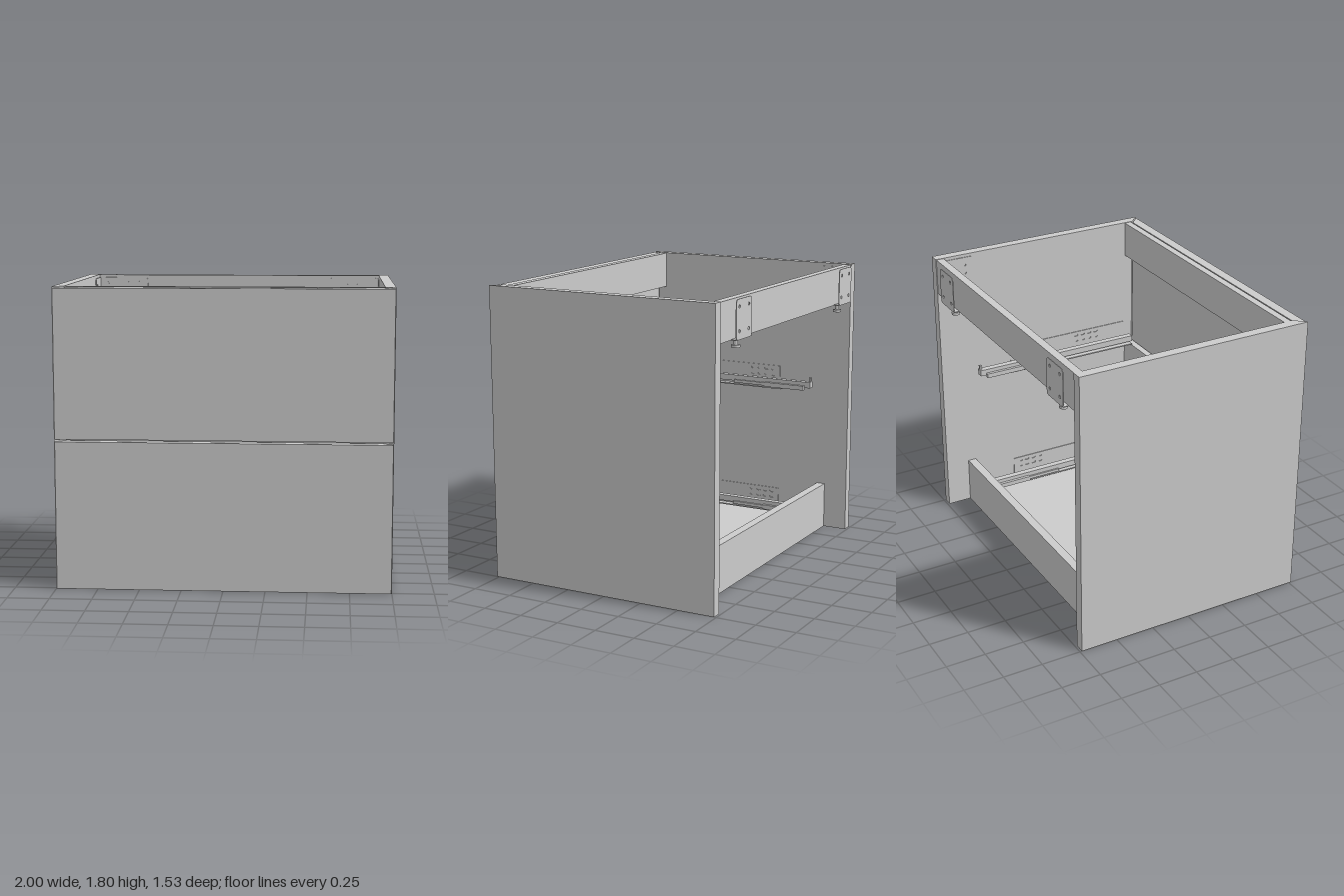
import * as THREE from 'three';

const H = 1.805;
const mat = new THREE.MeshStandardMaterial({ color: 0xcccccc, side: THREE.DoubleSide, flatShading: true });

function add(parent, name, geo, x = 0, y = 0, z = 0) {
  const m = new THREE.Mesh(geo, mat);
  m.name = name;
  m.position.set(x, y, z);
  parent.add(m);
  return m;
}

// Box given by its minimum and maximum on each axis
function box(parent, name, x0, x1, y0, y1, z0, z1) {
  return add(parent, name, new THREE.BoxGeometry(Math.abs(x1 - x0), y1 - y0, z1 - z0),
    (x0 + x1) / 2, (y0 + y1) / 2, (z0 + z1) / 2);
}

// Upright prism from an [x, z] outline
function prism(parent, name, outline, y0, y1) {
  const shape = new THREE.Shape(outline.map(([x, z]) => new THREE.Vector2(x, -z)));
  const geo = new THREE.ExtrudeGeometry(shape, { depth: y1 - y0, bevelEnabled: false });
  geo.rotateX(-Math.PI / 2);
  return add(parent, name, geo, 0, y0, 0);
}

// Thin rounded plate in the XY plane, holes as [x, y, halfWidth, halfHeight]
function plateGeometry(w, h, r, t, holes) {
  const s = new THREE.Shape();
  s.moveTo(r, 0);
  s.lineTo(w - r, 0);
  s.absarc(w - r, r, r, -Math.PI / 2, 0);
  s.absarc(w - r, h - r, r, 0, Math.PI / 2);
  s.absarc(r, h - r, r, Math.PI / 2, Math.PI);
  s.absarc(r, r, r, Math.PI, Math.PI * 1.5);
  for (const [x, y, a, b] of holes) {
    const p = new THREE.Path();
    p.absellipse(x, y, a, b, 0, Math.PI * 2, true);
    s.holes.push(p);
  }
  return new THREE.ExtrudeGeometry(s, { depth: t, bevelEnabled: false, curveSegments: 6 });
}

// Drawer runner for the +x wall, base at y = 0
function runner() {
  const g = new THREE.Group();
  const slots = [];
  for (const z of [0.05, 0.1, 0.15, 0.2, 0.5, 0.55, 0.6, 0.65])
    for (const y of [0.075, 0.115]) slots.push([z, y, 0.016, 0.008]);
  const wall = add(g, 'runnerWallPlate', plateGeometry(0.88, 0.14, 0.006, 0.005, slots), 0.934, 0, -0.24);
  wall.rotation.y = -Math.PI / 2;
  const flangeSlots = [0.12, 0.21, 0.28, 0.36].map(z => [0.03, z, 0.014, 0.022]);
  const flange = add(g, 'runnerFlange', plateGeometry(0.065, 0.88, 0.004, 0.006, flangeSlots), 0.868, 0.006, -0.24);
  flange.rotation.x = Math.PI / 2;
  // channel with the sliding member on top
  box(g, 'runnerChannelFloor', 0.82, 0.87, 0.004, 0.012, -0.3, 0.64);
  box(g, 'runnerChannelSide', 0.862, 0.87, 0.004, 0.04, -0.3, 0.64);
  box(g, 'runnerSlide', 0.822, 0.864, 0.03, 0.07, -0.51, 0.64);
  box(g, 'runnerHook', 0.836, 0.852, 0.07, 0.1, -0.51, -0.495);
  // damper on the inner side
  box(g, 'runnerDamper', 0.802, 0.822, 0.015, 0.045, -0.47, -0.18);
  box(g, 'runnerDamperArm', 0.81, 0.822, 0.02, 0.04, -0.18, 0.05);
  return g;
}

// Wall hanger: outer cover behind the rail, adjusting screws inside
function hanger(cx) {
  const g = new THREE.Group();
  g.name = 'wallHanger';
  const holes = [];
  for (const x of [0.04, 0.158]) for (const y of [0.05, 0.19]) holes.push([x, y, 0.01, 0.01]);
  add(g, 'hangerCover', plateGeometry(0.198, 0.232, 0.025, 0.005, holes), cx - 0.099, 1.569, -0.768);
  box(g, 'hangerLip', cx - 0.099, cx + 0.099, 1.569, 1.575, -0.766, -0.735);
  const screw = add(g, 'hangerScrew', new THREE.CylinderGeometry(0.011, 0.011, 0.06, 12), cx, 1.63, -0.655);
  screw.rotation.x = Math.PI / 2;
  const head = add(g, 'hangerScrewHead', new THREE.CylinderGeometry(0.026, 0.026, 0.014, 16), cx, 1.63, -0.628);
  head.rotation.x = Math.PI / 2;
  add(g, 'hangerKnobStem', new THREE.CylinderGeometry(0.012, 0.012, 0.06, 12), cx, 1.55, -0.715);
  add(g, 'hangerKnob', new THREE.CylinderGeometry(0.026, 0.026, 0.016, 16), cx, 1.522, -0.715);
  return g;
}

export function createModel() {
  const model = new THREE.Group();
  model.name = 'drawerCabinet';

  // Side panels with mitred front edge
  for (const s of [-1, 1])
    prism(model, s > 0 ? 'leftSide' : 'rightSide',
      [[s, -0.737], [s, 0.765], [s * 0.937, 0.7], [s * 0.937, -0.737]], 0, H);

  // Floor and rails
  box(model, 'floor', -0.937, 0.937, 0, 0.065, -0.525, 0.69);
  box(model, 'lowerBackRail', -0.937, 0.937, 0, 0.3, -0.58, -0.525);
  box(model, 'upperBackRail', -0.937, 0.937, 1.57, H - 0.003, -0.733, -0.683);
  box(model, 'upperFrontRail', -0.937, 0.937, 1.57, H - 0.003, 0.645, 0.69);
  box(model, 'middleFrontRail', -0.937, 0.937, 0.71, 0.94, 0.645, 0.69);

  // Drawer fronts, mitred to meet the sides
  for (const [name, y0, y1] of [['lowerDrawerFront', 0, 0.89], ['upperDrawerFront', 0.905, 1.797]])
    prism(model, name, [[-0.996, 0.766], [0.996, 0.766], [0.933, 0.704], [-0.933, 0.704]], y0, y1);

  // Drawer runners, two pairs
  for (const [level, y] of [['lower', 0.085], ['upper', 0.945]])
    for (const s of [-1, 1]) {
      const r = runner();
      r.name = level + (s > 0 ? 'LeftRunner' : 'RightRunner');
      r.position.y = y;
      r.scale.x = s;
      model.add(r);
    }

  // Hangers and their inner corner plates
  model.add(hanger(-0.768), hanger(0.706));
  for (const s of [-1, 1]) {
    const g = new THREE.Group();
    g.name = s > 0 ? 'leftCornerPlate' : 'rightCornerPlate';
    g.scale.x = s;
    const holes = [];
    for (const x of [0.05, 0.12, 0.19, 0.26]) holes.push([x, 0.18, 0.012, 0.012]);
    holes.push([0.05, 0.06, 0.012, 0.012], [0.26, 0.06, 0.012, 0.012]);
    add(g, 'cornerPlateBack', plateGeometry(0.325, 0.21, 0.02, 0.005, holes), 0.61, 1.575, -0.683);
    const sideHoles = [];
    for (const x of [0.05, 0.14]) for (const y of [0.05, 0.105, 0.16]) sideHoles.push([x, y, 0.01, 0.01]);
    const side = add(g, 'cornerPlateSide', plateGeometry(0.2, 0.21, 0.02, 0.005, sideHoles), 0.936, 1.575, -0.683);
    side.rotation.y = -Math.PI / 2;
    model.add(g);
  }
  return model;
}
